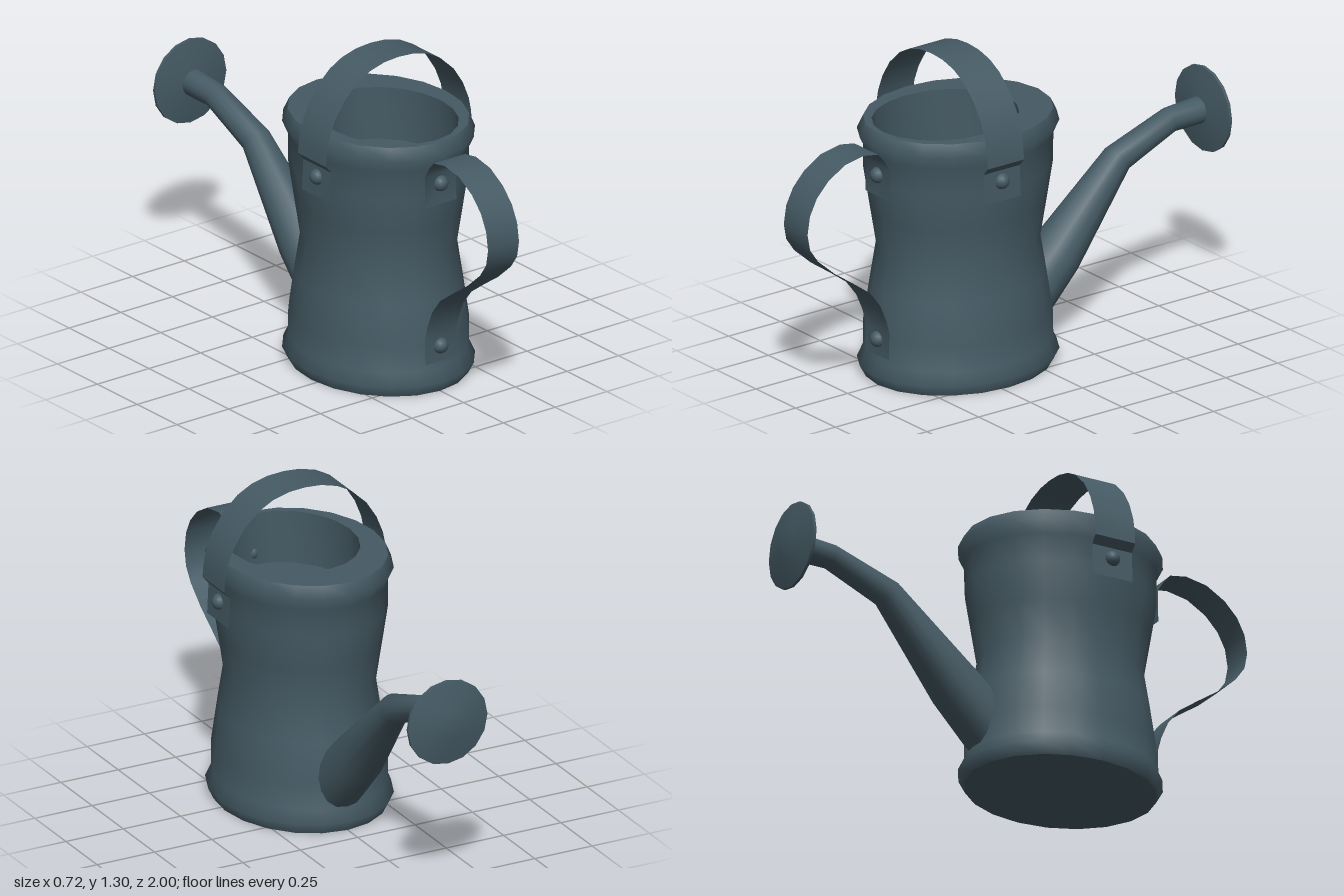
import * as THREE from 'three';
import { toCreasedNormals } from 'three/addons/utils/BufferGeometryUtils.js';

const metal = new THREE.MeshStandardMaterial({ color: 0x455a64, side: THREE.DoubleSide });
metal.name = 'slate metal';

function add(parent, name, geometry) {
  const mesh = new THREE.Mesh(geometry, metal);
  mesh.name = name;
  parent.add(mesh);
  return mesh;
}

const lathe = (points, sides) =>
  toCreasedNormals(new THREE.LatheGeometry(points.map(p => new THREE.Vector2(...p)), sides), 0.9);

// Flat strap of constant width following a path of [outward, height] points
function strap(path, width) {
  const g = new THREE.PlaneGeometry(width, 1, 1, path.length - 1);
  const pos = g.attributes.position;
  for (let i = 0; i < pos.count; i++) {
    const [out, y] = path[Math.floor(i / 2)];
    pos.setXYZ(i, pos.getX(i), y, out);
  }
  g.computeVertexNormals();
  return toCreasedNormals(g, 0.6);
}

// Tapered tube from rings [z, y, radius], each square to the path
function taperedTube(rings, sides) {
  const g = new THREE.CylinderGeometry(1, 1, 1, sides, rings.length - 1, true);
  const pos = g.attributes.position;
  for (let i = 0; i < pos.count; i++) {
    const r = Math.floor(i / (sides + 1));
    const a = (i % (sides + 1)) / sides * Math.PI * 2;
    const [z, y, radius] = rings[r];
    const p = rings[Math.max(r - 1, 0)], n = rings[Math.min(r + 1, rings.length - 1)];
    const len = Math.hypot(n[0] - p[0], n[1] - p[1]);
    const dz = (n[0] - p[0]) / len, dy = (n[1] - p[1]) / len;
    const s = Math.sin(a) * radius;
    pos.setXYZ(i, Math.cos(a) * radius, y - dz * s, z + dy * s);
  }
  g.computeVertexNormals();
  return toCreasedNormals(g, 0.9);
}

export function createModel() {
  const can = new THREE.Group();
  can.name = 'wateringCan';

  // Oval waisted body, with a bead at the foot and the rim
  const body = new THREE.Group();
  body.name = 'body';
  body.position.z = 0.217;
  body.scale.z = 1.19;
  can.add(body);
  add(body, 'bodyWall', lathe([
    [0, 0], [0.325, 0], [0.346, 0.045], [0.325, 0.095], [0.324, 0.2], [0.303, 0.36], [0.281, 0.515],
    [0.303, 0.67], [0.324, 0.82], [0.325, 0.935], [0.346, 0.985], [0.325, 1.035]], 20));

  // Top plate with the filling hole set toward the front
  const plate = new THREE.Shape().absarc(0, 0, 0.325, 0, Math.PI * 2);
  plate.holes.push(new THREE.Path().absarc(0, -0.052, 0.252, 0, Math.PI * 2, true));
  const top = add(body, 'topPlate', new THREE.ShapeGeometry(plate, 10));
  top.rotation.x = -Math.PI / 2;
  top.position.y = 1.035;
  const well = add(body, 'fillingWell', lathe([[0.252, 1.035], [0.252, 0.82], [0, 0.82]], 20));
  well.position.z = 0.052;

  // Spout and its sprinkling rose
  add(can, 'spout', taperedTube([
    [-0.06, 0.15, 0.115], [-0.25, 0.335, 0.105], [-0.55, 0.657, 0.06],
    [-0.8, 0.755, 0.05], [-0.955, 0.762, 0.054]], 16));
  const rose = add(can, 'sprinklerRose', lathe([
    [0, -0.94], [0.06, -0.94], [0.173, -0.96], [0.173, -0.972], [0.06, -0.997], [0, -1]].reverse(), 16));
  rose.rotation.x = Math.PI / 2;
  rose.position.y = 0.763;

  // Rear grip strap
  add(can, 'gripHandle', strap([
    [0.607, 0.125], [0.606, 0.235], [0.62, 0.29], [0.65, 0.36], [0.7, 0.425], [0.78, 0.483], [0.87, 0.545],
    [0.95, 0.615], [0.988, 0.67], [1, 0.735], [0.988, 0.81], [0.955, 0.875], [0.9, 0.933],
    [0.82, 0.98], [0.73, 0.997], [0.66, 0.985], [0.63, 0.95], [0.605, 0.91], [0.607, 0.78]], 0.15));

  // Carrying strap over the top, mirrored about the middle
  const half = [[0.333, 0.78], [0.327, 0.905], [0.353, 0.935], [0.349, 0.99], [0.338, 1.045],
    [0.31, 1.115], [0.265, 1.185], [0.2, 1.246], [0.14, 1.279], [0.07, 1.298]];
  const bail = add(can, 'carryingHandle',
    strap([...half, [0, 1.303], ...half.map(([x, y]) => [-x, y]).reverse()], 0.175));
  bail.rotation.y = Math.PI / 2;
  bail.position.z = 0.257;

  // Rivets
  for (const [x, y, z] of [[0.326, 0.86, 0.257], [-0.326, 0.86, 0.257], [0, 0.865, 0.603], [0, 0.19, 0.603]]) {
    add(can, 'rivet', new THREE.SphereGeometry(0.032, 14, 10)).position.set(x, y, z);
  }
  return can;
}
